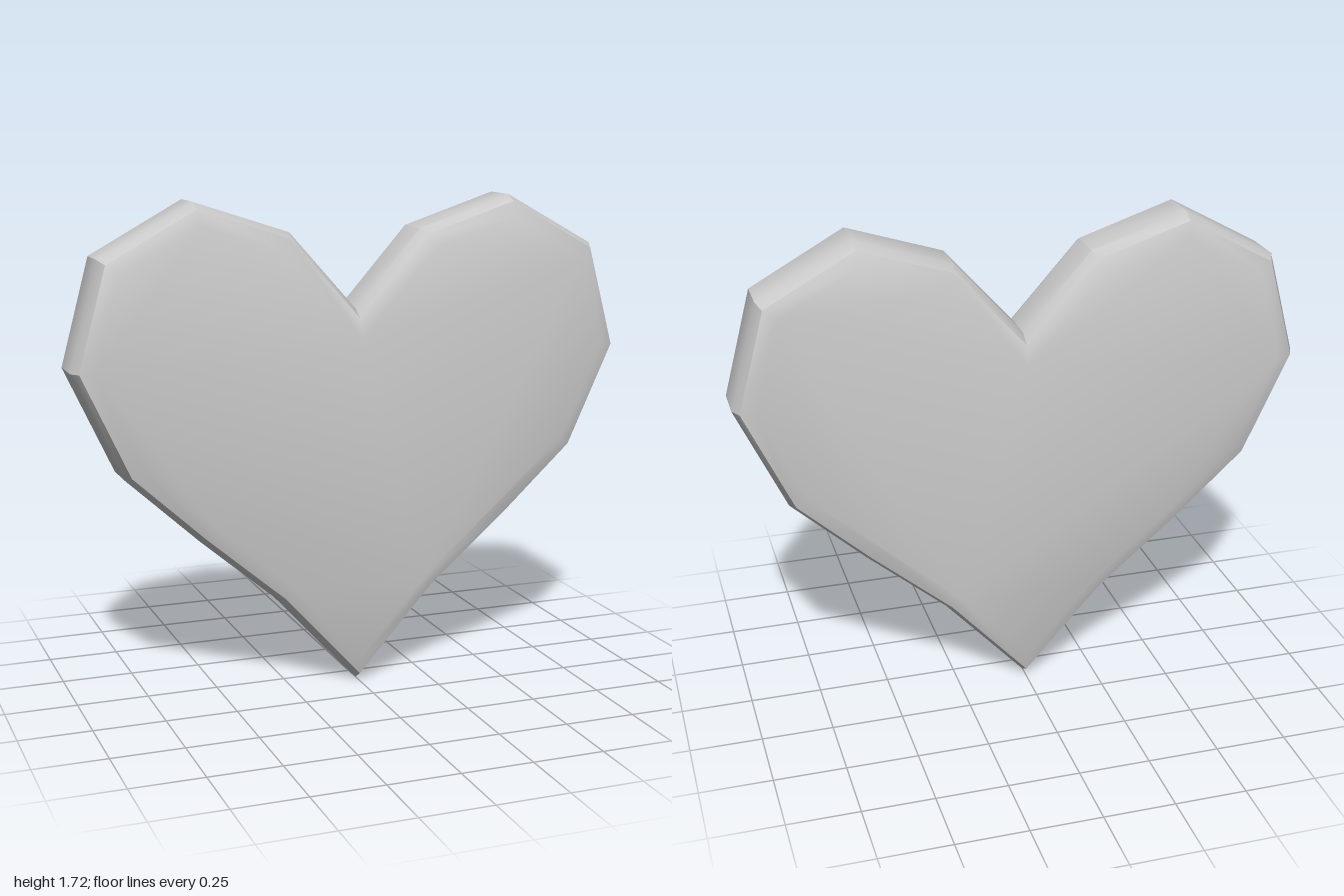
import * as THREE from 'three';
import { toCreasedNormals } from 'three/addons/utils/BufferGeometryUtils.js';

export function createModel() {
  const group = new THREE.Group();
  group.name = 'heart';

  // Left half of the outline, from the bottom tip up to the notch
  const half = [
    [0, 0], [0.29, 0.32], [0.57, 0.56], [0.83, 0.8], [1, 1.17],
    [0.9, 1.54], [0.575, 1.72], [0.24, 1.61], [0, 1.34],
  ];
  const mirrored = half.slice(1, -1).reverse().map(([x, y]) => [-x, y]);
  const outline = [...half, ...mirrored].map(([x, y]) => new THREE.Vector2(x, y));

  // Slab with a two-step rounded rim, inset from the outline
  const depth = 0.14;
  const slab = new THREE.ExtrudeGeometry(new THREE.Shape(outline), {
    depth,
    bevelEnabled: true,
    bevelSegments: 2,
    bevelThickness: 0.065,
    bevelSize: 0.07,
    bevelOffset: -0.07,
  });
  slab.translate(0, 0, -depth / 2);

  // Gentle bends are smooth, strong corners stay sharp
  const body = new THREE.Mesh(
    toCreasedNormals(slab, THREE.MathUtils.degToRad(35)),
    new THREE.MeshStandardMaterial({ color: 0xcccccc }),
  );
  body.name = 'heartBody';
  group.add(body);
  return group;
}
